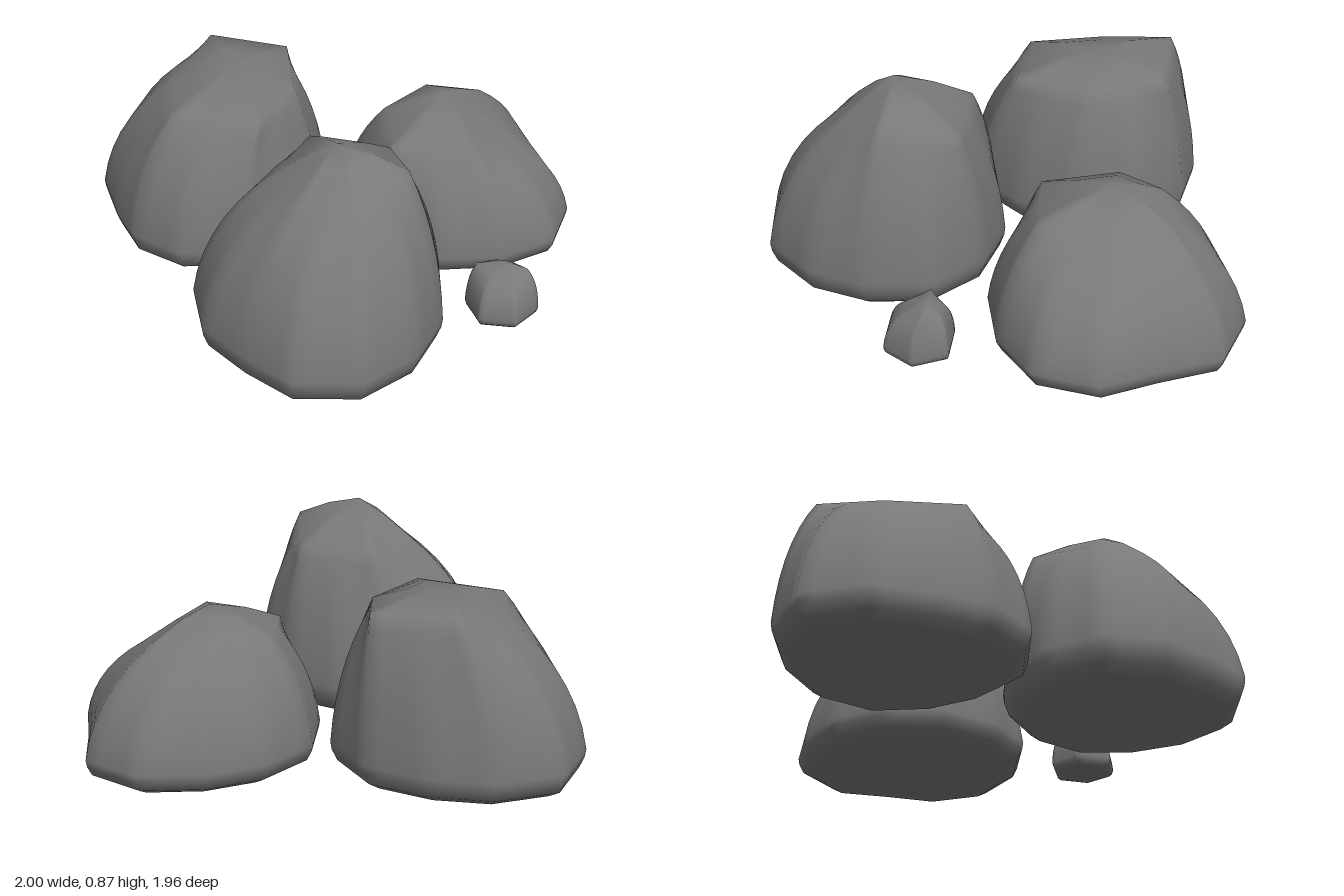
import * as THREE from 'three';

const SEGMENTS = 48;
const FLANK_STEPS = 7;
const { lerp } = THREE.MathUtils;

// Corner of an outline given by radii evenly spaced about [cx, cz], from +x towards +z
function corner([cx, cz], radii, heights, i) {
  const n = i % radii.length, angle = (n / radii.length) * Math.PI * 2;
  return new THREE.Vector3(cx + Math.cos(angle) * radii[n], heights[n % heights.length], cz + Math.sin(angle) * radii[n]);
}

// Point at u (0..1) along the straight-sided outline
function outline(centre, radii, heights, u) {
  const s = u * radii.length, i = Math.floor(s);
  return corner(centre, radii, heights, i).lerp(corner(centre, radii, heights, i + 1), s - i);
}

// Boulder: rounded foot, bulging flank from footprint to crown, then a domed cap up to the peak
function makeRock(name, material, { centre, foot, girth, base, peak, top, crown, heights, bulge = 0.15, rise = 0.6, dome = 0.02 }) {
  const bottomPoint = new THREE.Vector3(centre[0], base, centre[1]);
  const topPoint = new THREE.Vector3(peak[0], top, peak[1]);
  const columns = [];
  for (let j = 0; j < SEGMENTS; j++) {
    const u = j / SEGMENTS;
    const lower = outline(centre, foot, [girth], u);
    const upper = outline(peak, crown, heights, u);

    // Underside and rounded lower edge, as [radius scale, height fraction]
    const column = [[0.6, 0], [0.85, 0.15], [0.95, 0.4], [0.99, 0.75]].map(([scale, t]) => {
      const p = bottomPoint.clone().lerp(lower, scale);
      p.y = lerp(base, girth, t);
      return p;
    });

    // Curved flank
    const control = lower.clone().lerp(upper, bulge);
    control.y = lerp(girth, upper.y, rise);
    column.push(...new THREE.QuadraticBezierCurve3(lower, control, upper).getPoints(FLANK_STEPS));

    // Domed cap
    const cap = upper.clone().lerp(topPoint, 0.5);
    cap.y += dome;
    column.push(cap);
    columns.push(column);
  }

  const rows = columns[0].length, bottom = SEGMENTS * rows, apex = bottom + 1;
  const index = [];
  for (let j = 0; j < SEGMENTS; j++) {
    const here = j * rows, next = ((j + 1) % SEGMENTS) * rows;
    for (let i = 0; i < rows - 1; i++) {
      index.push(here + i, here + i + 1, next + i, next + i, here + i + 1, next + i + 1);
    }
    index.push(bottom, here, next, here + rows - 1, apex, next + rows - 1);
  }

  const geometry = new THREE.BufferGeometry().setFromPoints([...columns.flat(), bottomPoint, topPoint]);
  geometry.setIndex(index);
  geometry.computeVertexNormals();
  const mesh = new THREE.Mesh(geometry, material);
  mesh.name = name;
  return mesh;
}

export function createModel() {
  const group = new THREE.Group();
  group.name = 'rockCluster';
  const stone = new THREE.MeshStandardMaterial({ color: 0x787878 });

  group.add(makeRock('flatToppedBoulder', stone, {
    centre: [-0.52, -0.25], girth: 0.15, base: 0.02,
    foot: [0.485, 0.47, 0.495, 0.487, 0.455, 0.42, 0.48, 0.535, 0.5, 0.478, 0.51, 0.525],
    peak: [-0.42, -0.3], top: 0.74,
    crown: [0.26, 0.36, 0.35, 0.25, 0.34, 0.335],
    heights: [0.675, 0.67, 0.66, 0.67, 0.73, 0.71],
    dome: 0.012,
  }));

  group.add(makeRock('slopingBoulder', stone, {
    centre: [0.52, -0.48], girth: 0.11, base: 0,
    foot: [0.48, 0.51, 0.488, 0.492, 0.485, 0.5, 0.5, 0.475, 0.468, 0.505, 0.5, 0.417],
    peak: [0.45, -0.46], top: 0.63,
    crown: [0.3, 0.3, 0.34, 0.25, 0.2, 0.25],
    heights: [0.44, 0.53, 0.51, 0.53, 0.565, 0.54],
    dome: 0.012,
  }));

  group.add(makeRock('tallBoulder', stone, {
    centre: [0.1, 0.48], girth: 0.16, base: 0.01,
    foot: [0.487, 0.492, 0.515, 0.497, 0.435, 0.468, 0.502, 0.48, 0.465, 0.473, 0.49, 0.51],
    peak: [0.16, 0.43], top: 0.865,
    crown: [0.27, 0.21, 0.2, 0.24, 0.32, 0.31],
    heights: [0.78, 0.73, 0.725, 0.71, 0.72, 0.71],
    dome: 0.012,
  }));

  group.add(makeRock('pebble', stone, {
    centre: [0.79, 0.23], girth: 0.09, base: 0.045,
    foot: [0.145, 0.14, 0.148, 0.145, 0.145, 0.15],
    peak: [0.78, 0.2], top: 0.262,
    crown: [0.1, 0.07, 0.07, 0.1, 0.06, 0.06],
    heights: [0.245, 0.235, 0.235, 0.245, 0.235, 0.235],
    bulge: 0.1, rise: 0.75, dome: 0.005,
  }));
  return group;
}
